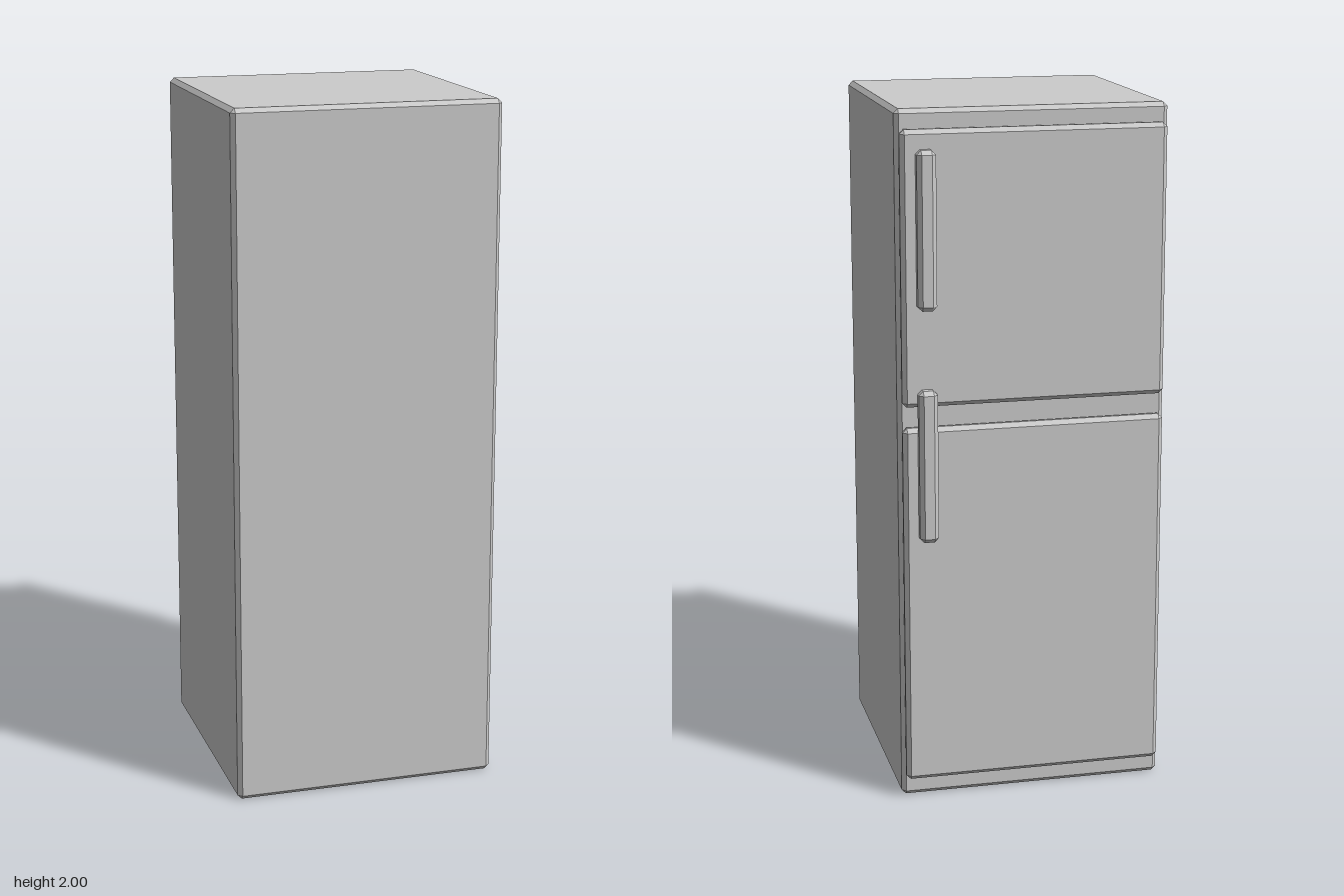
import * as THREE from 'three';
import { ConvexGeometry } from 'three/addons/geometries/ConvexGeometry.js';

const BEVEL = 0.0125;

// Box with all twelve edges chamfered, given by its extents on each axis
function chamferedBox([x0, x1], [y0, y1], [z0, z1], bevel = BEVEL) {
  const half = new THREE.Vector3(x1 - x0, y1 - y0, z1 - z0).multiplyScalar(0.5);
  const points = [];
  for (const sx of [-1, 1]) for (const sy of [-1, 1]) for (const sz of [-1, 1]) {
    // each corner becomes a small triangle, one point per adjoining face
    for (let face = 0; face < 3; face++) {
      const inset = [bevel, bevel, bevel];
      inset[face] = 0;
      points.push(new THREE.Vector3(
        sx * (half.x - inset[0]), sy * (half.y - inset[1]), sz * (half.z - inset[2])));
    }
  }
  const geometry = new ConvexGeometry(points);
  geometry.translate((x0 + x1) / 2, (y0 + y1) / 2, (z0 + z1) / 2);
  return geometry;
}

export function createModel() {
  const model = new THREE.Group();
  model.name = 'refrigerator';
  const material = new THREE.MeshStandardMaterial({ color: 0xcccccc, flatShading: true });

  function add(name, x, y, z) {
    const mesh = new THREE.Mesh(chamferedBox(x, y, z), material);
    mesh.name = name;
    model.add(mesh);
  }

  // Cabinet
  add('cabinet', [-0.387, 0.387], [0, 2], [-0.345, 0.409]);

  // Two doors on the -z side, each with a long upright handle near the +x edge
  const doors = [
    { name: 'freezer', door: [1.174, 1.947], handle: [1.451, 1.894] },
    { name: 'fridge', door: [0.059, 1.114], handle: [0.786, 1.226] },
  ];
  for (const { name, door, handle } of doors) {
    add(name + 'Door', [-0.378, 0.378], door, [-0.378, -0.344]);
    add(name + 'Handle', [0.283, 0.337], handle, [-0.411, -0.367]);
  }
  return model;
}
